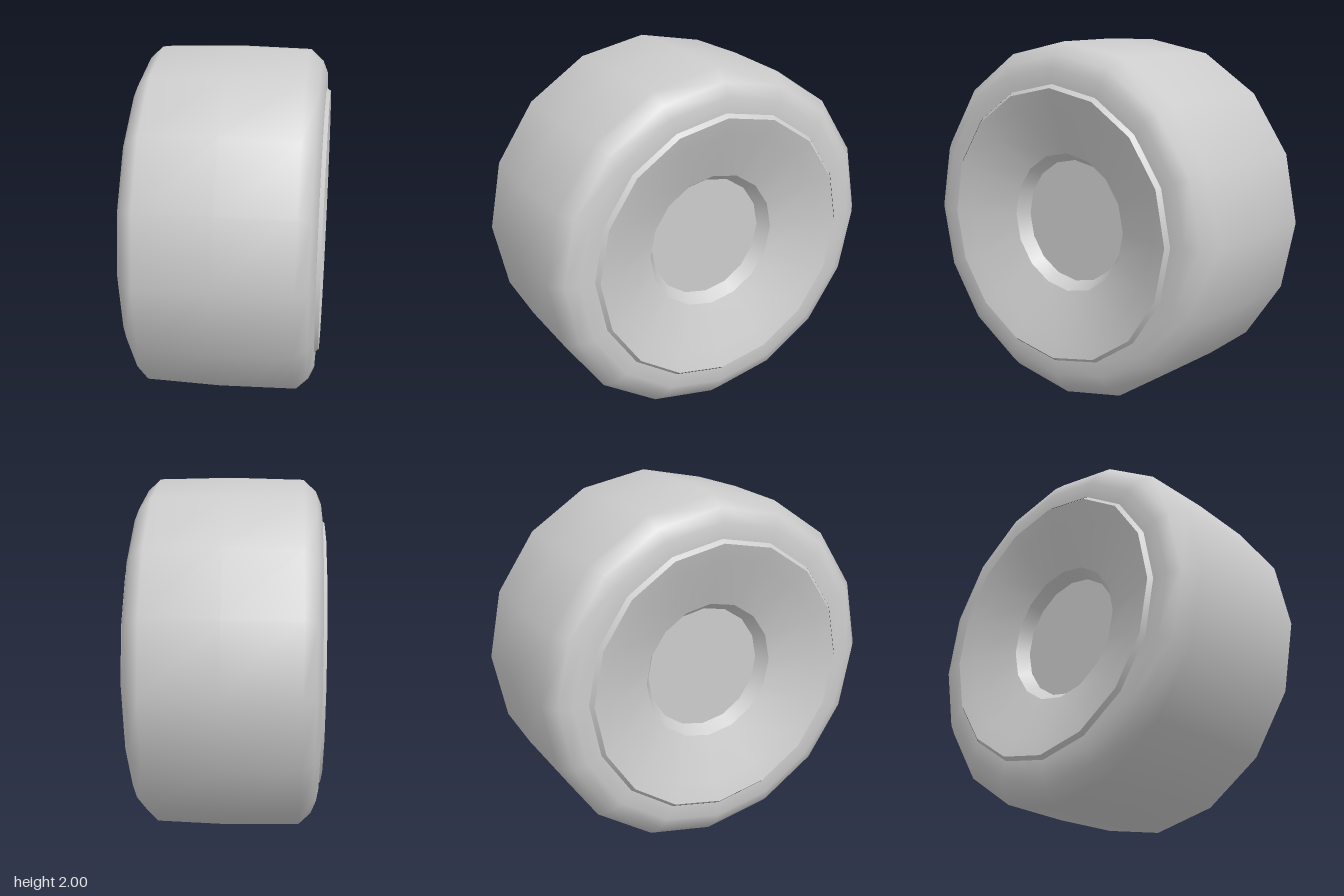
import * as THREE from 'three';

const SIDES = 16;
const material = new THREE.MeshStandardMaterial({ color: 0xcccccc });

// Revolves [radius, axial position] pairs; smooth within one call, sharp between calls
function ring(name, profile) {
  const points = profile.map(([r, a]) => new THREE.Vector2(r, a));
  const mesh = new THREE.Mesh(new THREE.LatheGeometry(points, SIDES), material);
  mesh.name = name;
  return mesh;
}

// One face of the wheel, pointing along +y before it is turned sideways
function wheelFace(name) {
  const face = new THREE.Group();
  face.name = name;
  face.add(
    ring('rimLip', [[0.772, 0.495], [0.75, 0.522]]),
    ring('rimDish', [[0.75, 0.522], [0.65, 0.49], [0.39, 0.39]]),
    ring('hubWall', [[0.39, 0.39], [0.345, 0.32]]),
    ring('hubDisc', [[0.345, 0.32], [0, 0.32]]),
  );
  return face;
}

export function createModel() {
  const wheel = new THREE.Group();
  wheel.name = 'wheel';

  // Tyre: slightly crowned tread with rounded shoulders, mirrored about its middle
  const half = [[0.77, 0.5], [0.855, 0.5], [0.925, 0.47], [0.99, 0.4]];
  const tyre = ring('tyre', [
    ...half.map(([r, a]) => [r, -a]),
    [1, 0],
    ...half.slice().reverse(),
  ]);
  tyre.rotation.z = -Math.PI / 2;
  wheel.add(tyre);

  // Rim and recessed hub on both sides
  for (const [name, side] of [['leftFace', 1], ['rightFace', -1]]) {
    const face = wheelFace(name);
    face.rotation.z = -side * Math.PI / 2;
    wheel.add(face);
  }

  wheel.position.y = 1;
  const model = new THREE.Group();
  model.add(wheel);
  return model;
}
